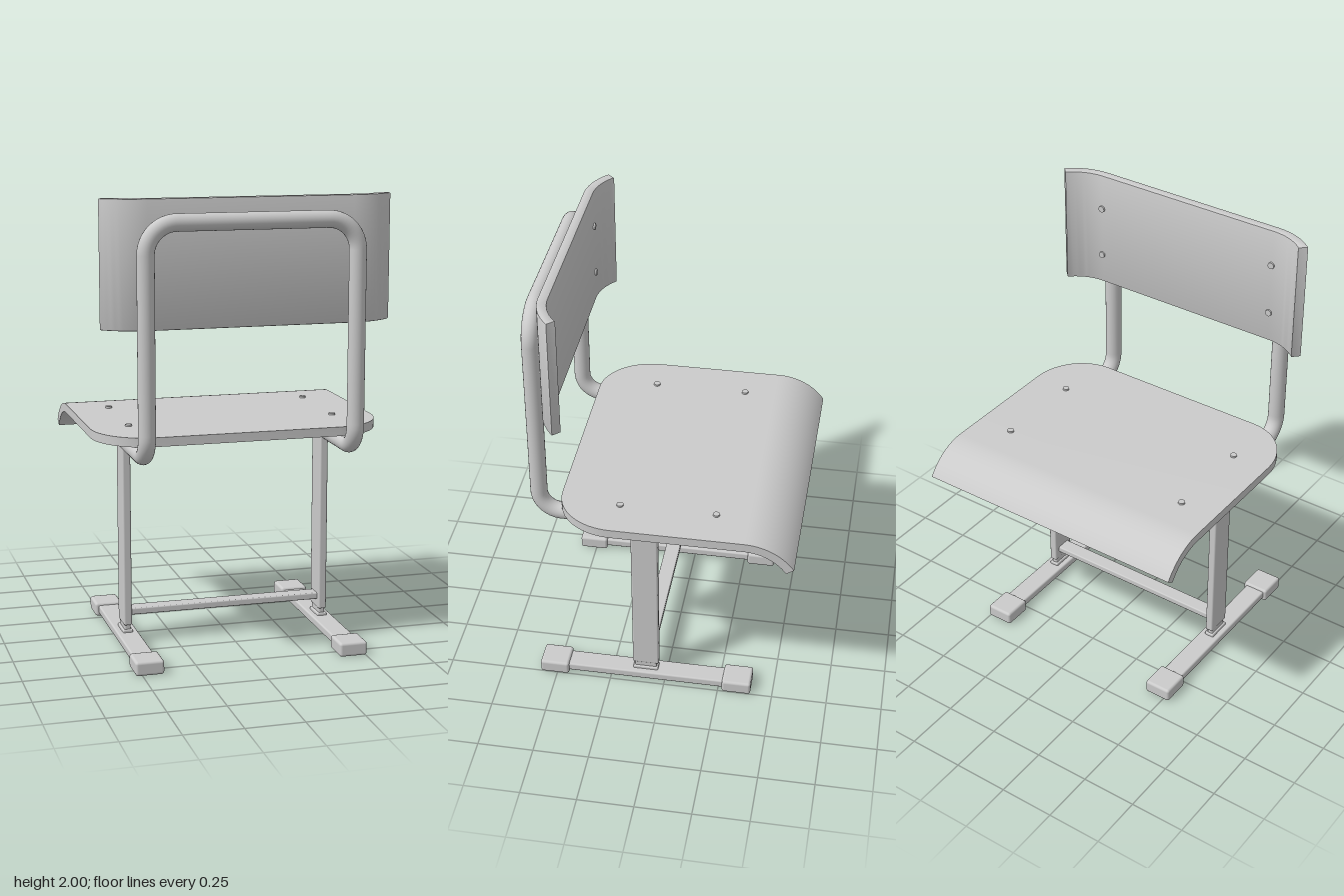
import * as THREE from 'three';
import { toCreasedNormals } from 'three/addons/utils/BufferGeometryUtils.js';
import { RoundedBoxGeometry } from 'three/addons/geometries/RoundedBoxGeometry.js';

const material = new THREE.MeshStandardMaterial({ color: 0xcccccc });
const V = (x, y, z) => new THREE.Vector3(x, y, z);

function part(parent, name, geometry, x = 0, y = 0, z = 0) {
  const mesh = new THREE.Mesh(geometry, material);
  mesh.name = name;
  mesh.position.set(x, y, z);
  parent.add(mesh);
  return mesh;
}

// Straight runs joined by round bends; radii[i] belongs to points[i]
function bentPath(points, radii) {
  const path = new THREE.CurvePath();
  let from = points[0];
  for (let i = 1; i < points.length - 1; i++) {
    const p = points[i], r = radii[i];
    const toPrev = points[i - 1].clone().sub(p).normalize();
    const toNext = points[i + 1].clone().sub(p).normalize();
    const at = (dir, d) => p.clone().addScaledVector(dir, d);
    path.add(new THREE.LineCurve3(from, at(toPrev, r)));
    path.add(new THREE.CubicBezierCurve3(at(toPrev, r), at(toPrev, r * 0.448), at(toNext, r * 0.448), at(toNext, r)));
    from = at(toNext, r);
  }
  path.add(new THREE.LineCurve3(from, points[points.length - 1]));
  path.arcLengthDivisions = 600;
  return path;
}

// Seat panel: rows of four corners running from the rounded end to the drooping lip
function seatGeometry() {
  const t = 0.04, half = 0.637, rows = [];
  for (let i = 0; i <= 12; i++) {
    const a = (i / 12) * Math.PI / 2;
    rows.push({ w: half - 0.23 * (1 - Math.sin(a)), z: 0.205 + 0.25 * Math.cos(a), a: 0, y: 1 });
  }
  for (let i = 0; i <= 14; i++) {
    const a = (i / 14) * 0.977, R = 0.259;
    rows.push({ w: half, z: -0.37 - R * Math.sin(a), y: 1 - R + R * Math.cos(a), a });
  }
  const pos = [], index = [];
  for (const { w, z, y, a } of rows) {
    const zb = z + t * Math.sin(a), yb = y - t * Math.cos(a);
    pos.push(-w, y, z, w, y, z, w, yb, zb, -w, yb, zb);
  }
  for (let r = 0; r < rows.length - 1; r++) {
    for (let k = 0; k < 4; k++) {
      const a = r * 4 + k, b = r * 4 + (k + 1) % 4;
      index.push(a, b, b + 4, a, b + 4, a + 4);
    }
  }
  const e = (rows.length - 1) * 4;
  index.push(0, 2, 1, 0, 3, 2, e, e + 1, e + 2, e, e + 2, e + 3);
  const g = new THREE.BufferGeometry();
  g.setAttribute('position', new THREE.Float32BufferAttribute(pos, 3));
  g.setIndex(index);
  return toCreasedNormals(g, 0.6);
}

// Backrest panel: curved plan section extruded upwards
function backrestGeometry() {
  const R = 0.27, cx = 0.443, cz = 0.508 - R, sweep = 0.77, n = 12;
  const arc = (r) => {
    const pts = [];
    for (const side of [-1, 1]) {
      for (let i = 0; i <= n; i++) {
        const a = sweep * (side < 0 ? 1 - i / n : i / n);
        pts.push(new THREE.Vector2(side * (cx + r * Math.sin(a)), -(cz + r * Math.cos(a))));
      }
    }
    return pts;
  };
  const shape = new THREE.Shape([...arc(R), ...arc(R - 0.042).reverse()]);
  const g = new THREE.ExtrudeGeometry(shape, {
    depth: 0.53, bevelEnabled: true, bevelThickness: 0.005, bevelSize: 0.004, bevelOffset: -0.004, bevelSegments: 2,
  });
  g.rotateX(-Math.PI / 2);
  return toCreasedNormals(g, 0.5);
}

export function createModel() {
  const chair = new THREE.Group();
  chair.name = 'chair';

  part(chair, 'seat', seatGeometry());
  part(chair, 'backrest', backrestGeometry(), -0.004, 1.465, 0);

  // Steel frame, slightly offset from the panels
  const frame = new THREE.Group();
  frame.name = 'frame';
  frame.position.x = -0.0125;
  chair.add(frame);

  const X = 0.455, r = 0.037, low = 0.925, zBack = 0.55, zEnd = -0.41;
  const path = bentPath([
    V(-X, low, zEnd), V(-X, low, zBack), V(-X, 1.905, zBack),
    V(X, 1.905, zBack), V(X, low, zBack), V(X, low, zEnd),
  ], [0, 0.1, 0.13, 0.13, 0.1, 0]);
  part(frame, 'bentTube', new THREE.TubeGeometry(path, 260, r, 24, false));

  for (const side of [-1, 1]) {
    const label = side > 0 ? 'left' : 'right';
    const x = side * X;
    const cap = part(frame, label + 'TubeEnd', new THREE.CircleGeometry(r, 24), x, low, zEnd);
    cap.rotation.y = Math.PI;

    // Upright post with its neck and collar
    part(frame, label + 'Post', new RoundedBoxGeometry(0.037, 0.82, 0.12, 2, 0.008), x, 0.495, 0.09);
    part(frame, label + 'PostNeck', new RoundedBoxGeometry(0.028, 0.1, 0.1, 2, 0.006), x, 0.085, 0.09);
    part(frame, label + 'PostCollar', new RoundedBoxGeometry(0.045, 0.02, 0.115, 2, 0.006), x, 0.055, 0.09);

    // Floor runner with a cap on each end
    part(frame, label + 'Runner', new RoundedBoxGeometry(0.095, 0.038, 0.9, 2, 0.008), x, 0.033, 0.088);
    for (const z of [0.511, -0.335]) {
      part(frame, label + 'FootCap', new RoundedBoxGeometry(0.125, 0.062, 0.132, 3, 0.012), x, 0.032, z);
    }
  }
  part(frame, 'crossbar', new RoundedBoxGeometry(2 * X, 0.03, 0.07, 2, 0.006), 0, 0.14, 0.09);

  // Bolt heads on the seat and the backrest
  const bolt = new THREE.CylinderGeometry(0.015, 0.015, 0.016, 16);
  for (const x of [-0.465, 0.462]) {
    for (const z of [0.19, -0.228]) part(chair, 'seatBolt', bolt, x, 1.0, z);
    for (const y of [1.6, 1.835]) {
      part(chair, 'backrestBolt', bolt, x * 0.96, y, 0.466).rotation.x = Math.PI / 2;
    }
  }
  return chair;
}
